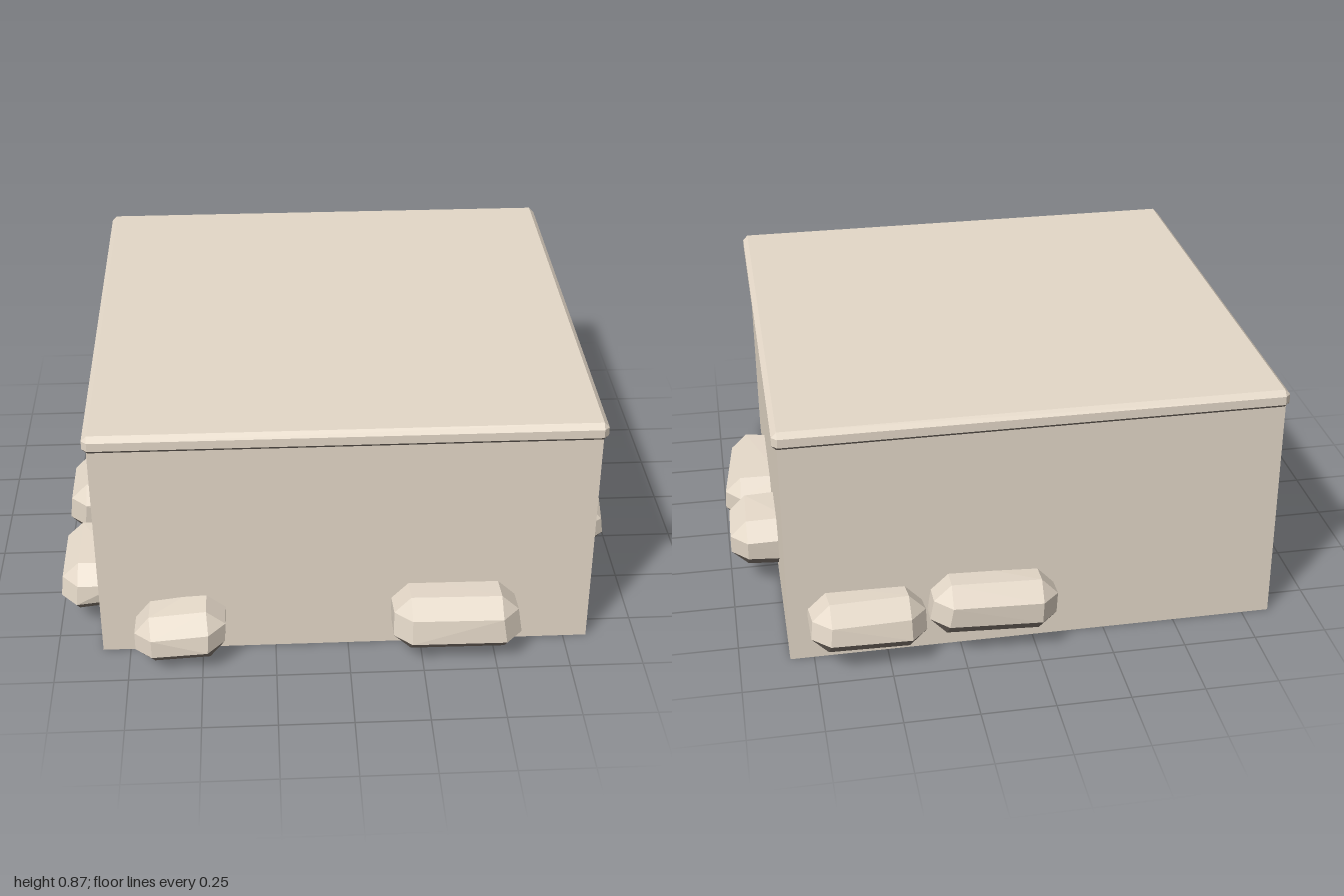
import * as THREE from 'three';
import { ConvexGeometry } from 'three/addons/geometries/ConvexGeometry.js';

const plaster = new THREE.MeshStandardMaterial({ color: 0xe4d8c8 });
plaster.name = 'pale plaster';
const underside = new THREE.MeshStandardMaterial({ color: 0x837970 });
underside.name = 'dark underside';

// Small seeded generator for the uneven stone corners
function seeded(seed) {
  let s = seed;
  return () => {
    s = (s * 16807) % 2147483647;
    return s / 2147483647 - 0.5;
  };
}

// Box with flat chamfers on every edge; wobble shifts each corner as a whole
function chamferedBox(w, h, d, bevel, wobble = 0, seed = 1) {
  const rand = seeded(seed * 7919);
  const points = [];
  for (const sx of [-1, 1]) for (const sy of [-1, 1]) for (const sz of [-1, 1]) {
    const shift = new THREE.Vector3(rand(), rand(), rand()).multiplyScalar(wobble);
    for (let axis = 0; axis < 3; axis++) {
      const inset = [bevel, bevel, bevel];
      inset[axis] = 0;
      points.push(new THREE.Vector3(
        sx * (w / 2 - inset[0]),
        sy * (h / 2 - inset[1]),
        sz * (d / 2 - inset[2])
      ).add(shift));
    }
  }
  return new ConvexGeometry(points);
}

// Gives every downward triangle the second material
function markUndersides(geometry) {
  const normal = geometry.attributes.normal;
  geometry.clearGroups();
  for (let i = 0; i < normal.count; i += 3) {
    geometry.addGroup(i, 3, normal.getY(i) < -0.48 ? 1 : 0);
  }
  return geometry;
}

export function createModel() {
  const model = new THREE.Group();
  model.name = 'block';

  const add = (name, geometry, x, y, z) => {
    const mesh = new THREE.Mesh(markUndersides(geometry), [plaster, underside]);
    mesh.name = name;
    mesh.position.set(x, y, z);
    model.add(mesh);
    return mesh;
  };

  // Main body and the thin chamfered cap
  add('body', new THREE.BoxGeometry(1.675, 0.82, 1.68).toNonIndexed(), -0.007, 0.41, -0.005);
  add('cap', chamferedBox(1.705, 0.066, 1.705, 0.018), -0.006, 0.833, -0.004);

  // Stones half sunk in the walls:
  // wall angle, outer reach, centre along the wall, centre height, length, height, yaw, roll
  const F = 0, L = Math.PI / 2, B = Math.PI, R = -Math.PI / 2;
  const stones = [
    ['frontStone', F, 0.978, -0.57, 0.115, 0.305, 0.185, 0.0, 0.11],
    ['frontStone', F, 0.982, 0.367, 0.142, 0.425, 0.205, 0.02, 0.02],
    ['leftStone', L, 0.98, 0.195, 0.123, 0.425, 0.18, -0.1, -0.02],
    ['leftStone', L, 0.99, -0.272, 0.17, 0.295, 0.19, 0.0, -0.05],
    ['backStone', B, 0.97, 0.148, 0.175, 0.42, 0.195, 0.0, -0.04],
    ['backStone', B, 0.982, 0.57, 0.155, 0.385, 0.185, 0.05, -0.03],
    ['rightStone', R, 0.993, 0.1, 0.165, 0.335, 0.195, 0.0, 0.03],
    ['rightStone', R, 0.985, 0.555, 0.162, 0.335, 0.195, -0.04, -0.03],
  ];
  const depth = 0.26;
  stones.forEach(([name, wall, reach, along, y, length, height, yaw, roll], i) => {
    const out = reach - depth / 2;
    const sideways = wall === L || wall === R;
    const sign = wall === F || wall === L ? 1 : -1;
    const x = sideways ? sign * out : along;
    const z = sideways ? along : sign * out;
    const stone = add(name, chamferedBox(length, height, depth, 0.058, 0.02, i + 3), x, y, z);
    stone.rotation.set(0, wall + yaw, roll, 'YXZ');
  });

  return model;
}
